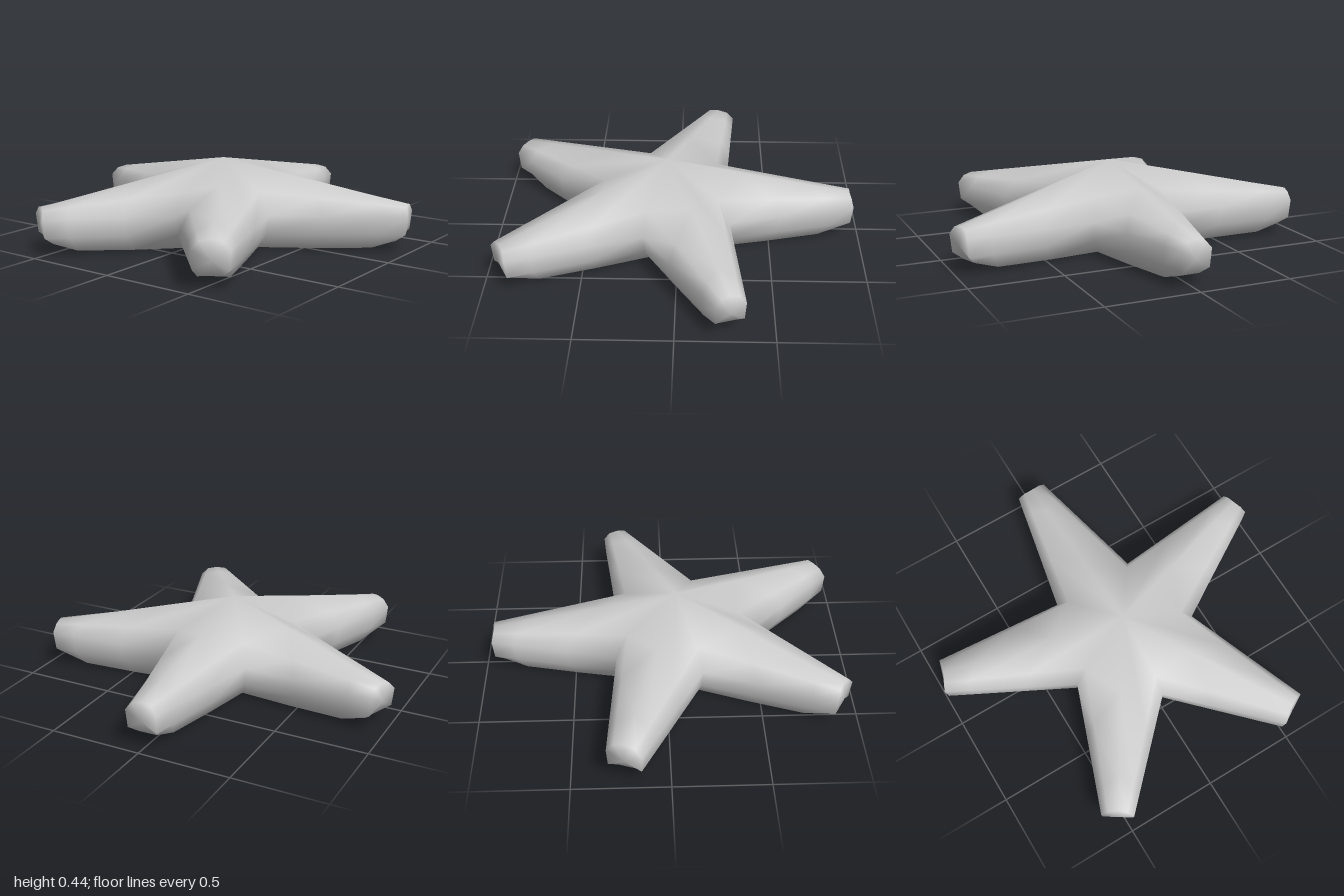
import * as THREE from 'three';
import { mergeVertices } from 'three/addons/utils/BufferGeometryUtils.js';

const CENTRE = [-0.06, 0.01];
// notches between neighbouring arms (x, z)
const VALLEYS = [[0.27, -0.22], [0.28, 0.25], [-0.18, 0.39], [-0.48, 0.01], [-0.19, -0.36]];
// two outer corners of each arm tip (x, z)
const TIPS = [
  [[0.955, -0.08], [0.96, 0.09]],
  [[0.35, 0.95], [0.2, 1.0]],
  [[-0.87, 0.65], [-0.965, 0.49]],
  [[-0.965, -0.47], [-0.87, -0.615]],
  [[0.145, -1.0], [0.32, -0.94]],
];
// profile from floor to shoulder: [reach, height] at the notch, [width, height, inset] at the tip
const NOTCH = [[0.78, 0.005], [0.96, 0.09], [1, 0.19], [0.82, 0.31]];
const TIP = [[0.6, 0.06, 0.06], [0.95, 0.1, 0.01], [1, 0.2, 0], [0.6, 0.24, 0.01]];

const mix = (a, b, t) => a + (b - a) * t;

function notchSide(v) {
  return NOTCH.map(([f, y]) =>
    new THREE.Vector3(mix(CENTRE[0], v[0], f), y, mix(CENTRE[1], v[1], f)));
}

// closed ring: left side up, ridge, right side down, underside centre
function rootRing(i) {
  return [
    ...notchSide(VALLEYS[i]),
    new THREE.Vector3(CENTRE[0], 0.445, CENTRE[1]),
    ...notchSide(VALLEYS[(i + 1) % 5]).reverse(),
    new THREE.Vector3(CENTRE[0], 0, CENTRE[1]),
  ];
}

function tipRing([l, r]) {
  const left = new THREE.Vector3(l[0], 0, l[1]);
  const right = new THREE.Vector3(r[0], 0, r[1]);
  const mid = left.clone().add(right).multiplyScalar(0.5);
  const inward = new THREE.Vector3(CENTRE[0], 0, CENTRE[1]).sub(mid).normalize();
  const place = (corner, [w, y, inset]) =>
    mid.clone().lerp(corner, w).addScaledVector(inward, inset).setY(y);
  return [
    ...TIP.map((p) => place(left, p)),
    place(mid, [0, 0.25, 0.015]),
    ...TIP.map((p) => place(right, p)).reverse(),
    place(mid, [0, 0.06, 0.06]),
  ];
}

function starGeometry() {
  const pos = [];
  const tri = (...pts) => pts.forEach((p) => pos.push(p.x, p.y, p.z));

  TIPS.forEach((tip, arm) => {
    const root = rootRing(arm), end = tipRing(tip), n = root.length;
    const rings = [0, 0.4, 0.82, 1].map((t) => root.map((p, i) => {
      const q = p.clone().lerp(end[i], t);
      // underside stays nearly flat until it lifts towards the tip
      if ((i === 0 || i >= 8) && t > 0 && t < 1) q.y = 0.005 + 0.02 * t * t;
      return q;
    }));
    for (let s = 0; s < rings.length - 1; s++) {
      for (let i = 0; i < n; i++) {
        const j = (i + 1) % n;
        const a = rings[s][i], b = rings[s][j], c = rings[s + 1][j], d = rings[s + 1][i];
        tri(a, b, d);
        tri(b, c, d);
      }
    }
    // blunt tip
    const hub = end.reduce((sum, p) => sum.add(p), new THREE.Vector3()).divideScalar(n);
    hub.x = (tip[0][0] + tip[1][0]) / 2;
    hub.z = (tip[0][1] + tip[1][1]) / 2;
    for (let i = 0; i < n; i++) tri(hub, end[i], end[(i + 1) % n]);
  });

  const geo = new THREE.BufferGeometry();
  geo.setAttribute('position', new THREE.Float32BufferAttribute(pos, 3));
  const smooth = mergeVertices(geo, 1e-4);
  smooth.computeVertexNormals();
  return smooth;
}

export function createModel() {
  const lightGrey = new THREE.MeshStandardMaterial({ color: 0xcccccc });
  lightGrey.name = 'lightGrey';
  const body = new THREE.Mesh(starGeometry(), lightGrey);
  body.name = 'starfishBody';
  const group = new THREE.Group();
  group.name = 'starfish';
  group.add(body);
  return group;
}
